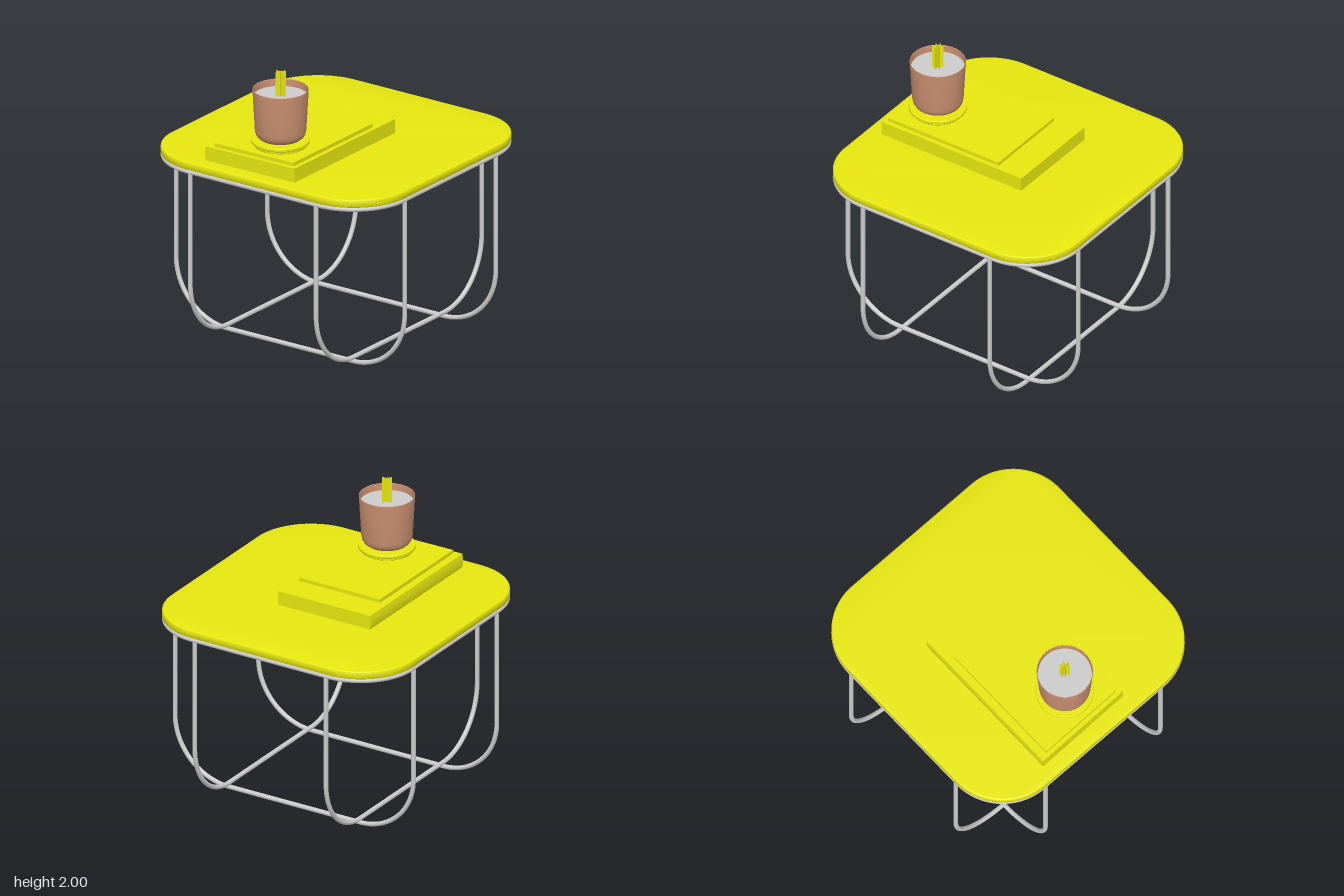
import * as THREE from 'three';
import { toCreasedNormals } from 'three/addons/utils/BufferGeometryUtils.js';

const YELLOW = 0xe6e60f, COPPER = 0xc98f70, GREY = 0xcccccc;
const TUBE = 0.016;   // radius of the frame tubing
const EDGE = 0.945;   // centre line of the frame
const LEG = 0.52;     // offset of the legs from the middle
const BEND = EDGE - LEG;

function material(color, side = THREE.FrontSide) {
  return new THREE.MeshStandardMaterial({ color, side });
}

function mesh(name, geometry, mat) {
  const m = new THREE.Mesh(geometry, mat);
  m.name = name;
  return m;
}

// Draws a square with rounded corners into a Path or Shape
function roundedSquare(path, half, radius) {
  const c = half - radius;
  path.moveTo(-c, -half);
  path.absarc(c, -c, radius, -Math.PI / 2, 0);
  path.absarc(c, c, radius, 0, Math.PI / 2);
  path.absarc(-c, c, radius, Math.PI / 2, Math.PI);
  path.absarc(-c, -c, radius, Math.PI, Math.PI * 1.5);
  return path;
}

// Lifts a flat path into space
class LiftedCurve extends THREE.Curve {
  constructor(path, place) {
    super();
    this.path = path;
    this.place = place;
  }
  getPoint(t, target = new THREE.Vector3()) {
    const p = this.path.getPoint(t);
    return target.set(...this.place(p.x, p.y));
  }
}

function tube(path, place, closed) {
  return new THREE.TubeGeometry(new LiftedCurve(path, place), 160, TUBE, 12, closed);
}

// U-shaped leg hoop with its bottom rail at the given height
function hoopPath(bottom) {
  const p = new THREE.Path();
  p.moveTo(-EDGE, 1.272);
  p.lineTo(-EDGE, bottom + BEND);
  p.absarc(-LEG, bottom + BEND, BEND, Math.PI, Math.PI * 1.5);
  p.lineTo(LEG, bottom);
  p.absarc(LEG, bottom + BEND, BEND, -Math.PI / 2, 0);
  p.lineTo(EDGE, 1.272);
  return p;
}

function lathe(points, segments = 64) {
  const g = new THREE.LatheGeometry(points.map(([x, y]) => new THREE.Vector2(x, y)), segments);
  return toCreasedNormals(g, 0.6);
}

// Book with a slightly bowed spine on its -x side and a slightly skewed front end
function book(x0, x1, y0, y1, z0, z1, bow) {
  const s = new THREE.Shape();
  s.moveTo(x0 + bow, y0);
  s.lineTo(x1, y0);
  s.lineTo(x1, y1);
  s.lineTo(x0 + bow, y1);
  s.quadraticCurveTo(x0 - bow, (y0 + y1) / 2, x0 + bow, y0);
  const g = new THREE.ExtrudeGeometry(s, { depth: z1 - z0, bevelEnabled: false, curveSegments: 6 });
  g.translate(0, 0, z0);
  const p = g.attributes.position;
  for (let i = 0; i < p.count; i++) {
    if (p.getZ(i) > z1 - 0.001) p.setZ(i, z1 - 0.01 * (p.getX(i) - x0) / (x1 - x0));
  }
  return toCreasedNormals(g, 0.6);
}

export function createModel() {
  const model = new THREE.Group();
  model.name = 'sideTable';
  const yellow = material(YELLOW), grey = material(GREY);

  // Table top with softened edges
  const bevel = 0.012;
  const topShape = roundedSquare(new THREE.Shape(), 0.96 - bevel, 0.42 - bevel);
  const top = new THREE.ExtrudeGeometry(topShape, {
    depth: 0.057 - 2 * bevel, bevelThickness: bevel, bevelSize: bevel, bevelSegments: 4, curveSegments: 24,
  });
  top.rotateX(-Math.PI / 2).translate(0, 1.288 + bevel, 0);
  model.add(mesh('tableTop', toCreasedNormals(top, 0.6), yellow));

  // Tubular frame: a ring under the top and two crossing pairs of hoops
  const frame = new THREE.Group();
  frame.name = 'frame';
  const ring = roundedSquare(new THREE.Path(), EDGE, 0.405);
  ring.closePath();
  frame.add(mesh('frameRing', tube(ring, (x, y) => [x, 1.274, y], true), grey));
  for (const s of [-1, 1]) {
    frame.add(mesh('crossHoop', tube(hoopPath(0.021), (x, y) => [x, y, s * LEG], false), grey));
    frame.add(mesh('sideHoop', tube(hoopPath(0.05), (x, y) => [s * LEG, y, x], false), grey));
  }
  model.add(frame);

  // Two stacked books
  model.add(mesh('lowerBook', book(-0.465, 0.27, 1.343, 1.445, -0.3, 0.855, 0.006), yellow));
  model.add(mesh('upperBook', book(-0.405, 0.238, 1.444, 1.471, -0.09, 0.825, 0.001), yellow));

  // Candle on its coaster
  const candle = new THREE.Group();
  candle.name = 'candle';
  candle.position.set(-0.027, 0, 0.595);
  candle.add(mesh('coaster', lathe([
    [0, 1.47], [0.175, 1.47], [0.178, 1.474], [0.178, 1.486], [0.19, 1.49],
    [0.195, 1.495], [0.195, 1.51], [0.191, 1.514], [0, 1.514],
  ]), yellow));

  // Cup: outer wall, rim, then inner wall down to the wax
  candle.add(mesh('cup', lathe([
    [0, 1.514], [0.115, 1.516], [0.138, 1.523], [0.156, 1.537], [0.168, 1.558], [0.173, 1.585],
    [0.189, 1.873], [0.187, 1.876], [0.184, 1.873], [0.181, 1.81],
  ]), material(COPPER, THREE.DoubleSide)));

  const wax = new THREE.CircleGeometry(0.183, 64);
  wax.rotateX(-Math.PI / 2).translate(0, 1.825, 0);
  candle.add(mesh('wax', wax, grey));

  // Wick of three thin crossing blades
  const wick = new THREE.Group();
  wick.name = 'wick';
  for (let i = 0; i < 3; i++) {
    const blade = mesh('wickBlade', new THREE.PlaneGeometry(0.076, 0.18), material(YELLOW, THREE.DoubleSide));
    blade.position.y = 1.91;
    blade.rotation.y = i * Math.PI / 3;
    wick.add(blade);
  }
  candle.add(wick);
  model.add(candle);

  return model;
}
